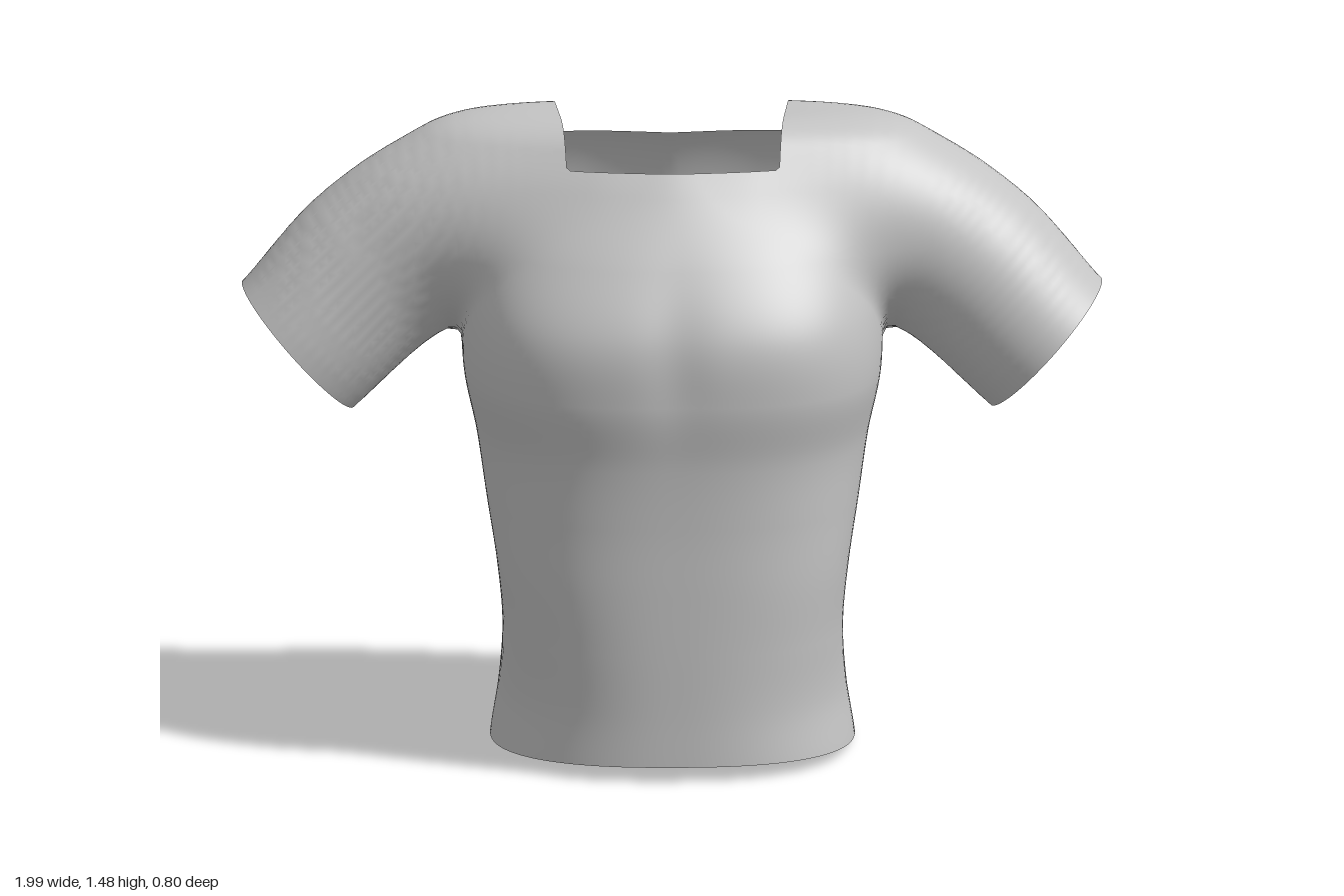
import * as THREE from 'three';
import { mergeVertices } from 'three/addons/utils/BufferGeometryUtils.js';

// Torso profiles, one value every 0.15 in height, from hem to shoulder.
const STEP_Y = 0.15;
const HALF_WIDTH = [0.425, 0.403, 0.395, 0.408, 0.432, 0.455, 0.485, 0.485, 0.47, 0.45, 0.4];
const FRONT = [0.4, 0.395, 0.392, 0.388, 0.384, 0.387, 0.402, 0.388, 0.304, 0.186, 0.075];
const BACK = [-0.3, -0.308, -0.22, -0.205, -0.28, -0.345, -0.378, -0.405, -0.39, -0.335, -0.22];
const FRONT_ROUNDNESS = [2.45, 2.45, 2.5, 2.6, 2.6, 2.6, 2.75, 2.7, 2.35, 1.85, 1.6];
const BACK_ROUNDNESS = [2.2, 2.2, 2.3, 2.6, 2.9, 3, 3.1, 3.1, 3.1, 3.1, 3.1];
const SHOULDER_HEIGHT = 1.484;

// Sleeve centre line (left side; the right is its mirror) and radii along it.
const SLEEVE_RADII = [0.225, 0.225, 0.212, 0.195, 0.197];
const CUFF = [0.867, 0.932];
const CUFF_NORMAL = [0.744, -0.668];
const SLEEVE_LINE = new THREE.CatmullRomCurve3([
  new THREE.Vector3(0.2, 1.25, -0.13),
  new THREE.Vector3(0.45, 1.24, -0.122),
  new THREE.Vector3(0.665, 1.125, -0.127),
  new THREE.Vector3(CUFF[0], CUFF[1], -0.087),
  new THREE.Vector3(1.05, 0.765, -0.075),
]);
const STATIONS = SLEEVE_LINE.getPoints(36).map((p, i) => ({ p, r: profile(SLEEVE_RADII, i / 9) }));

// Smooth curve through evenly spaced values.
function profile(v, s) {
  s = Math.min(Math.max(s, 0), v.length - 1);
  const i = Math.min(Math.floor(s), v.length - 2), t = s - i;
  const a = v[Math.max(i - 1, 0)], b = v[i], c = v[i + 1], d = v[Math.min(i + 2, v.length - 1)];
  return b + 0.5 * t * (c - a + t * (2 * a - 5 * b + 4 * c - d + t * (3 * (b - c) + d - a)));
}

const bell = (t) => Math.exp(-t * t);

function smoothMin(a, b, k) {
  const h = Math.max(k - Math.abs(a - b), 0) / k;
  return Math.min(a, b) - h * h * k * 0.25;
}

// Torso: rounded sections, widest behind the middle, with a chest cleft,
// a spine groove and slanting folds at the lower back.
function torsoField(x, y, z) {
  const s = y / STEP_Y;
  const front = profile(FRONT, s) - 0.01 * bell(x / 0.07) * bell((y - 1) / 0.15);
  const back = profile(BACK, s) + 0.008 * bell(x / 0.08) * bell((y - 1) / 0.25)
    + 0.004 * Math.sin(16 * x + 14 * y) * bell((y - 0.45) / 0.16);
  const a = profile(HALF_WIDTH, s), c = back + 0.41 * (front - back);
  const n = profile(z > c ? FRONT_ROUNDNESS : BACK_ROUNDNESS, s);
  const depth = z > c ? front - c : c - back;
  const q = Math.pow(Math.pow(x / a, n) + Math.pow(Math.abs(z - c) / depth, n), 1 / n);
  return (q - 1) * Math.min(a, (front - back) / 2);
}

// Sleeve: a tapering tube around its centre line.
function sleeveField(x, y, z) {
  let best = Infinity;
  for (let i = 0; i + 1 < STATIONS.length; i++) {
    const A = STATIONS[i], B = STATIONS[i + 1];
    const ux = B.p.x - A.p.x, uy = B.p.y - A.p.y, uz = B.p.z - A.p.z;
    const wx = x - A.p.x, wy = y - A.p.y, wz = z - A.p.z;
    const t = Math.min(1, Math.max(0, (ux * wx + uy * wy + uz * wz) / (ux * ux + uy * uy + uz * uz)));
    const dx = wx - t * ux, dy = wy - t * uy, dz = wz - t * uz;
    best = Math.min(best, Math.sqrt(dx * dx + dy * dy + dz * dz) - (A.r + t * (B.r - A.r)));
  }
  return best;
}

// Tight blend at the armpit, broad blend over chest and shoulder, flattened on top.
function field(x, y, z) {
  const ax = Math.abs(x);
  const blend = 0.04 + 0.08 * THREE.MathUtils.smoothstep(y, 0.95, 1.2);
  const body = smoothMin(torsoField(ax, y, z), sleeveField(ax, y, z), blend);
  return -smoothMin(-body, SHOULDER_HEIGHT - y, 0.05);
}

function gradient(p) {
  const e = 0.004, [x, y, z] = p;
  return new THREE.Vector3(
    field(x + e, y, z) - field(x - e, y, z),
    field(x, y + e, z) - field(x, y - e, z),
    field(x, y, z + e) - field(x, y, z - e),
  ).divideScalar(2 * e);
}

// Positive on cloth, negative in the hem, cuff and neck openings.
function cloth([x, y, z]) {
  const ax = Math.abs(x);
  const hem = y - (0.02 + 0.05 * z);
  const beyondCuff = (ax - CUFF[0]) * CUFF_NORMAL[0] + (y - CUFF[1]) * CUFF_NORMAL[1];
  const cuff = Math.max(-beyondCuff, 0.6 - ax);
  const neck = Math.max(ax - (0.255 - 0.08 * z), 1.39 + 0.05 * z - y);
  return Math.min(hem, cuff, neck);
}

// Trim a polygon along the edge of the cloth.
function trim(poly) {
  const out = [];
  poly.forEach((a, i) => {
    const b = poly[(i + 1) % poly.length], ka = cloth(a), kb = cloth(b);
    if (ka >= 0) out.push(a);
    if ((ka >= 0) !== (kb >= 0)) out.push(a.map((v, j) => v + (b[j] - v) * ka / (ka - kb)));
  });
  return out;
}

// Cover the blended torso and sleeves with quads, one vertex per grid cell on the surface.
function surfaceQuads() {
  const h = 0.02, origin = [-1.11, -0.09, -0.47], size = [112, 83, 48];
  const stride = [1, size[0], size[0] * size[1]];
  const at = (c) => c.map((v, j) => origin[j] + v * h);
  const values = new Float32Array(size[0] * size[1] * size[2]);
  const id = (c) => c[0] + c[1] * stride[1] + c[2] * stride[2];
  const eachCorner = (visit) => {
    for (let k = 0; k < size[2]; k++)
      for (let j = 0; j < size[1]; j++)
        for (let i = 0; i < size[0]; i++) visit([i, j, k]);
  };
  eachCorner((c) => { values[id(c)] = field(...at(c)); });

  const cells = new Map();
  const cellVertex = (c) => {
    const key = id(c);
    if (!cells.has(key)) {
      const p = at(c.map((v) => v + 0.5));
      for (let n = 0; n < 4; n++) {
        const g = gradient(p), f = field(...p) / Math.max(g.lengthSq(), 0.05);
        [g.x, g.y, g.z].forEach((v, j) => { p[j] -= THREE.MathUtils.clamp(f * v, -h, h); });
      }
      cells.set(key, p);
    }
    return cells.get(key);
  };

  const quads = [];
  eachCorner((c) => {
    for (let d = 0; d < 3; d++) {
      const u = (d + 1) % 3, v = (d + 2) % 3;
      if (c[d] + 1 >= size[d] || !c[u] || !c[v]) continue;
      const inside = values[id(c)] < 0;
      if (inside === values[id(c) + stride[d]] < 0) continue;
      const quad = [[-1, -1], [0, -1], [0, 0], [-1, 0]].map(([du, dv]) => {
        const cell = [...c];
        cell[u] += du;
        cell[v] += dv;
        return cellVertex(cell);
      });
      quads.push(inside ? quad : quad.reverse());
    }
  });
  return quads;
}

export function createModel() {
  const fabric = new THREE.MeshStandardMaterial({ color: 0xc4c4c4, side: THREE.DoubleSide });
  fabric.name = 'grey fabric';
  const parts = { torso: [], leftSleeve: [], rightSleeve: [] };

  // Sort the trimmed cloth into torso and sleeves.
  for (const quad of surfaceQuads()) {
    const poly = trim(quad);
    if (poly.length < 3) continue;
    const [x, y, z] = poly[0], ax = Math.abs(x);
    const onSleeve = ax > 0.3 && sleeveField(ax, y, z) < torsoField(ax, y, z);
    const part = parts[!onSleeve ? 'torso' : x > 0 ? 'leftSleeve' : 'rightSleeve'];
    for (let i = 1; i + 1 < poly.length; i++) part.push(poly[0], poly[i], poly[i + 1]);
  }

  const shirt = new THREE.Group();
  shirt.name = 'shirt';
  for (const [name, points] of Object.entries(parts)) {
    const geometry = new THREE.BufferGeometry();
    const normals = points.flatMap((p) => gradient(p).normalize().toArray());
    geometry.setAttribute('position', new THREE.Float32BufferAttribute(points.flat(), 3));
    geometry.setAttribute('normal', new THREE.Float32BufferAttribute(normals, 3));
    const mesh = new THREE.Mesh(mergeVertices(geometry, 1e-5), fabric);
    mesh.name = name;
    shirt.add(mesh);
  }
  return shirt;
}
